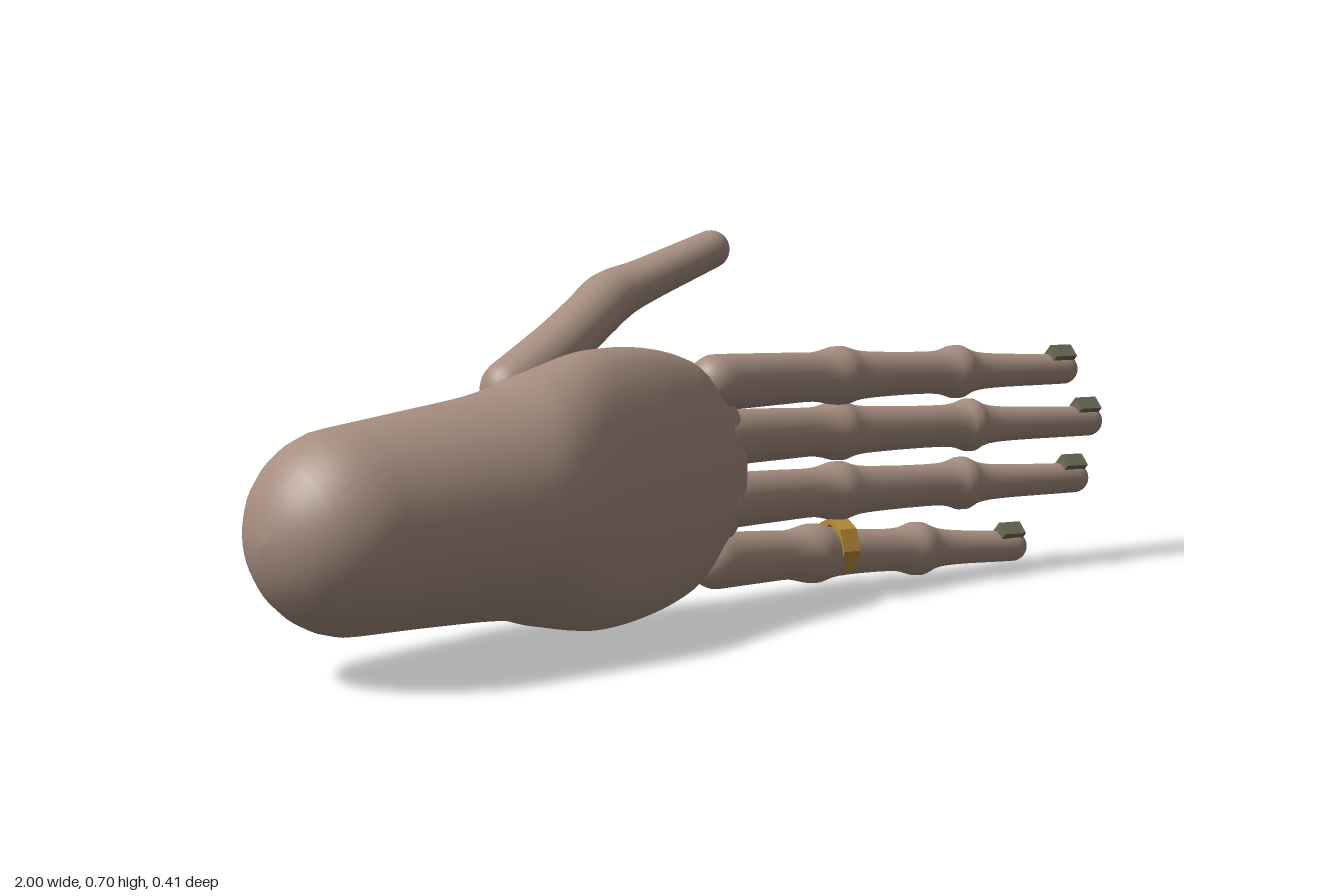
import * as THREE from 'three';

const skin = new THREE.MeshStandardMaterial({ color: 0xa58d7f });
skin.name = 'skin';
const nailPaint = new THREE.MeshStandardMaterial({ color: 0x6c6b58 });
nailPaint.name = 'nail grey green';
const gold = new THREE.MeshStandardMaterial({ color: 0xb98c38 });
gold.name = 'gold';

// Smooth loft through sections [x, y, z, ry, rz] with domed ends.
function loft(sections, sides, steps) {
  const path = new THREE.CatmullRomCurve3(sections.map(s => new THREE.Vector3(s[0], s[1], s[2])), false, 'catmullrom', 0.5);
  const size = new THREE.CatmullRomCurve3(sections.map(s => new THREE.Vector3(s[3], s[4], 0)), false, 'catmullrom', 0.5);
  const rings = [];
  const count = (sections.length - 1) * steps;
  for (let i = 0; i <= count; i++) {
    const t = i / count, r = size.getPoint(t);
    rings.push({ c: path.getPoint(t), d: path.getTangent(t), ry: r.x, rz: r.y });
  }
  const dome = (end, sign) => {
    const out = [];
    for (let k = 1; k <= 8; k++) {
      const a = k / 8 * Math.PI / 2, f = Math.max(Math.cos(a), 0.001);
      const c = end.c.clone().addScaledVector(end.d, sign * Math.min(end.ry, end.rz) * Math.sin(a));
      out.push({ c, d: end.d, ry: end.ry * f, rz: end.rz * f });
    }
    return out;
  };
  const all = [...dome(rings[0], -1).reverse(), ...rings, ...dome(rings[count], 1)];
  const position = [], index = [];
  all.forEach(({ c, d, ry, rz }, i) => {
    const side = new THREE.Vector3().crossVectors(d, new THREE.Vector3(0, 1, 0)).normalize();
    const up = new THREE.Vector3().crossVectors(side, d);
    for (let j = 0; j < sides; j++) {
      const a = j / sides * Math.PI * 2;
      const p = c.clone().addScaledVector(up, ry * Math.cos(a)).addScaledVector(side, rz * Math.sin(a));
      position.push(p.x, p.y, p.z);
      if (i < all.length - 1) {
        const k = i * sides + j, n = i * sides + (j + 1) % sides;
        index.push(k, n, k + sides, n, n + sides, k + sides);
      }
    }
  });
  const g = new THREE.BufferGeometry();
  g.setAttribute('position', new THREE.Float32BufferAttribute(position, 3));
  g.setIndex(index);
  g.computeVertexNormals();
  return g;
}

function add(parent, name, geometry, material) {
  const mesh = new THREE.Mesh(geometry, material);
  mesh.name = name;
  parent.add(mesh);
  return mesh;
}

// Finger with two knuckles, running from the palm to a thin tip.
function finger(name, baseY, tipY, k1, k2, tipX) {
  const group = new THREE.Group();
  group.name = name;
  const startX = 0.05;
  const at = (x, z, r) => [x, THREE.MathUtils.mapLinear(x, startX, tipX, baseY, tipY), z, r, r];
  add(group, name + 'Flesh', loft([
    at(startX, 0, 0.054),
    at(k1 * 0.5 + 0.02, 0.006, 0.05),
    at(k1 - 0.06, 0.014, 0.048),
    at(k1, 0.022, 0.058),
    at(k1 + 0.06, 0.034, 0.046),
    at(k2 - 0.06, 0.065, 0.042),
    at(k2, 0.077, 0.053),
    at(k2 + 0.06, 0.093, 0.036),
    at(tipX, 0.145, 0.03),
  ], 20, 6), skin);
  // Small block nail tilted on the upper front of the tip
  const nail = add(group, name + 'Nail', new THREE.BoxGeometry(0.052, 0.026, 0.03), nailPaint);
  nail.position.set(tipX - 0.015, tipY + 0.031, 0.152);
  nail.rotation.set(0.75, -0.2, -0.04, 'YZX');
  return group;
}

export function createModel() {
  const hand = new THREE.Group();
  hand.name = 'hand';

  // Forearm stump flowing into the flat palm
  add(hand, 'forearmAndPalm', loft([
    [-0.83, 0.26, 0, 0.18, 0.175],
    [-0.66, 0.262, 0, 0.19, 0.192],
    [-0.5, 0.262, -0.002, 0.203, 0.203],
    [-0.4, 0.261, -0.004, 0.23, 0.178],
    [-0.27, 0.262, -0.004, 0.257, 0.134],
    [-0.13, 0.264, -0.002, 0.248, 0.112],
    [-0.02, 0.268, 0.004, 0.212, 0.085],
    [0.06, 0.27, 0.01, 0.14, 0.045],
  ], 40, 8), skin);

  // Thumb rising from the back of the palm
  add(hand, 'thumb', loft([
    [-0.375, 0.45, -0.095, 0.056, 0.056],
    [-0.26, 0.513, -0.098, 0.052, 0.054],
    [-0.17, 0.563, -0.108, 0.05, 0.053],
    [-0.11, 0.594, -0.117, 0.05, 0.054],
    [-0.04, 0.62, -0.103, 0.042, 0.045],
    [0.1, 0.672, -0.066, 0.036, 0.036],
  ], 24, 6), skin);

  // Four fingers: base height, tip height, knuckle positions, tip position
  hand.add(
    finger('indexFinger', 0.43, 0.392, 0.36, 0.64, 0.885),
    finger('middleFinger', 0.325, 0.278, 0.36, 0.68, 0.966),
    finger('ringFinger', 0.205, 0.166, 0.36, 0.66, 0.925),
    finger('littleFinger', 0.092, 0.05, 0.29, 0.53, 0.735),
  );

  // Faceted ring around the little finger
  const band = new THREE.LatheGeometry([
    [0.045, -0.018], [0.058, -0.018], [0.058, 0.018], [0.045, 0.018], [0.045, -0.018],
  ].map(p => new THREE.Vector2(...p)), 8).toNonIndexed();
  band.computeVertexNormals();
  const ring = add(hand, 'fingerRing', band, gold);
  ring.rotation.set(0.3, 0, -Math.PI / 2, 'YZX');
  ring.position.set(0.35, 0.084, 0.032);

  return hand;
}
